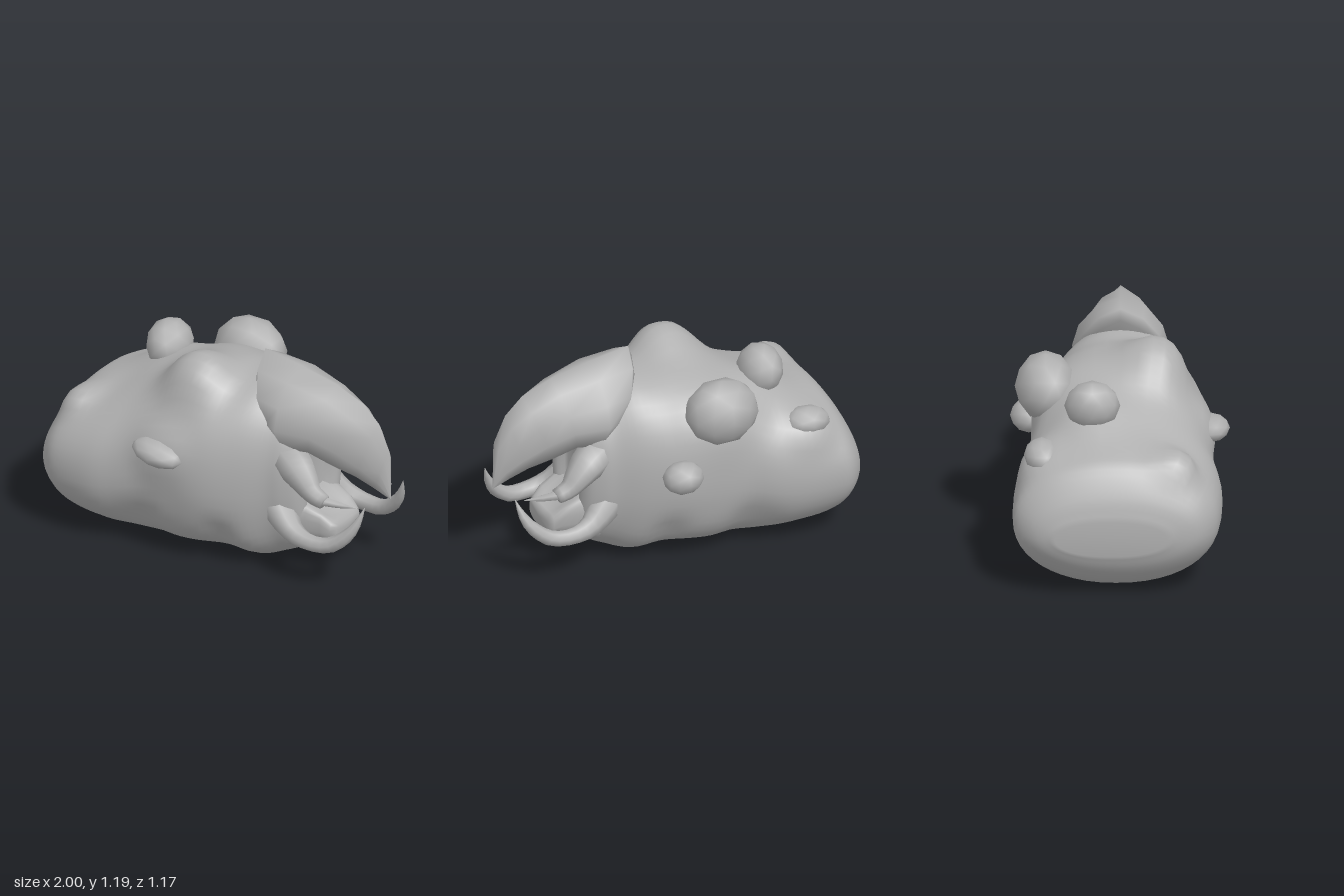
import * as THREE from 'three';

const hide = new THREE.MeshStandardMaterial({ color: 0xb0b0b0 });
hide.name = 'grey hide';

// Skin over rings of points that run top -> +z -> bottom -> -z, closed at both ends
function loft(rings) {
  const n = rings[0].length, pos = [], idx = [];
  rings.forEach(r => r.forEach(p => pos.push(...p)));
  for (let i = 0; i < rings.length - 1; i++) for (let j = 0; j < n; j++) {
    const a = i * n + j, b = i * n + (j + 1) % n, c = a + n, d = b + n;
    idx.push(a, b, c, b, d, c);
  }
  [0, rings.length - 1].forEach((row, end) => {
    const mid = [0, 1, 2].map(k => rings[row].reduce((s, p) => s + p[k], 0) / n);
    const m = pos.push(...mid) / 3 - 1;
    for (let j = 0; j < n; j++) {
      const a = row * n + j, b = row * n + (j + 1) % n;
      if (end) idx.push(m, a, b); else idx.push(m, b, a);
    }
  });
  const g = new THREE.BufferGeometry();
  g.setAttribute('position', new THREE.Float32BufferAttribute(pos, 3));
  g.setIndex(idx);
  g.computeVertexNormals();
  return g;
}

// Rounded ring: position along the body, top, bottom, half width, widest height, z shift
function ring([x, top, bottom, half, mid, dz = 0], { dent = 0, sides = 48, power = 0.92 } = {}) {
  return Array.from({ length: sides }, (_, j) => {
    const t = j / sides * Math.PI * 2, c = Math.cos(t), s = Math.sin(t);
    const cy = Math.sign(c) * Math.abs(c) ** power, sz = Math.sign(s) * Math.abs(s) ** power;
    const hollow = c > 0 ? dent * c ** 3 : 0;
    return [x, mid + cy * (c > 0 ? top - mid : mid - bottom) - hollow, dz + half * sz];
  });
}

// Smoothly adds rows between the given ones
function refine(rows, steps) {
  const spline = k => new THREE.CatmullRomCurve3(
    rows.map(r => new THREE.Vector3(r[k], r[k + 1], r[k + 2])), false, 'catmullrom');
  const first = spline(0), last = spline(3);
  return Array.from({ length: steps + 1 }, (_, i) =>
    [...first.getPoint(i / steps).toArray(), ...last.getPoint(i / steps).toArray()]);
}

// Pushes a point outwards near each soft bump [x, y, z, radius, height]
function swell(point, bumps) {
  const p = new THREE.Vector3(...point), out = p.clone();
  for (const [x, y, z, r, h] of bumps) {
    const d = p.distanceTo(new THREE.Vector3(x, y, z)) / r;
    out.addScaledVector(new THREE.Vector3(0, y - 0.45, z).normalize(), h * Math.exp(-(d ** 3)));
  }
  return out.toArray();
}

// Tapered limb along a path of [x, y, z, radius]
function limb(points, sides = 8, steps = 12) {
  const curve = new THREE.CatmullRomCurve3(points.map(p => new THREE.Vector3(p[0], p[1], p[2])));
  const frames = curve.computeFrenetFrames(steps), rings = [];
  for (let i = 0; i <= steps; i++) {
    const p = curve.getPointAt(i / steps);
    const u = curve.getUtoTmapping(i / steps) * (points.length - 1);
    const k = Math.min(Math.floor(u), points.length - 2);
    const r = THREE.MathUtils.lerp(points[k][3], points[k + 1][3], u - k);
    rings.push(Array.from({ length: sides }, (_, j) => {
      const t = j / sides * Math.PI * 2;
      return p.clone().addScaledVector(frames.normals[i], r * Math.cos(t))
        .addScaledVector(frames.binormals[i], r * Math.sin(t)).toArray();
    }));
  }
  return loft(rings);
}

export function createModel() {
  const model = new THREE.Group();
  model.name = 'beakedCreature';
  const add = (name, geometry) => {
    const mesh = new THREE.Mesh(geometry, hide);
    mesh.name = name;
    model.add(mesh);
    return mesh;
  };

  // Soft bumps that grow out of the hide: hump, rump wart, wart bases, flank lobes
  const bumps = [
    [-0.12, 1.01, 0.19, 0.18, 0.125],
    [-0.81, 0.72, 0.28, 0.11, 0.07],
    [-0.52, 0.87, -0.16, 0.18, 0.05],
    [-0.17, 0.83, -0.36, 0.22, 0.04],
    [-0.18, 0.66, 0.46, 0.16, 0.04],
    [-0.67, 0.7, -0.42, 0.15, 0.05],
  ];
  for (const s of [1, -1]) bumps.push(
    [-0.08, 0.14, s * 0.36, 0.17, 0.02], [-0.36, 0.2, s * 0.45, 0.13, -0.018],
    [0.12, 0.2, s * 0.38, 0.1, -0.018], [0.26, 0.14, s * 0.27, 0.12, 0.01]);

  // Bulky body and head, ending in a hollow throat
  add('body', loft(refine([
    [-1.0, 0.48, 0.28, 0.30, 0.38, -0.05],
    [-0.96, 0.61, 0.19, 0.44, 0.40, -0.03],
    [-0.88, 0.74, 0.09, 0.53, 0.42, -0.03],
    [-0.78, 0.795, 0.03, 0.555, 0.43, -0.02],
    [-0.6, 0.85, 0.005, 0.555, 0.44, -0.01],
    [-0.45, 0.92, 0.0, 0.525, 0.46, -0.01],
    [-0.3, 1.0, 0.0, 0.485, 0.5, 0],
    [-0.15, 1.05, 0.005, 0.475, 0.52, 0],
    [0.0, 1.06, 0.025, 0.47, 0.54, 0],
    [0.12, 1.05, 0.025, 0.44, 0.55, 0],
    [0.26, 1.05, 0.005, 0.375, 0.55, 0],
    [0.38, 1.0, 0.05, 0.305, 0.56, 0],
    [0.46, 0.96, 0.09, 0.275, 0.57, 0],
    [0.53, 0.9, 0.14, 0.225, 0.57, 0],
    [0.55, 0.8, 0.2, 0.15, 0.54, 0],
    [0.5, 0.72, 0.3, 0.09, 0.52, 0],
  ], 60).map(r => ring(r).map(p => swell(p, bumps)))));

  // Hooked beak: half sections from ridge to palate, mirrored
  const half = [
    [[0.17, 1.13, 0], [0.2, 1.07, 0.1], [0.26, 0.97, 0.18], [0.34, 0.88, 0.2], [0.4, 0.75, 0.18], [0.42, 0.75, 0]],
    [[0.19, 1.19, 0], [0.22, 1.12, 0.12], [0.27, 1.0, 0.205], [0.34, 0.88, 0.23], [0.4, 0.75, 0.2], [0.42, 0.75, 0]],
    [[0.42, 1.155, 0], [0.42, 1.1, 0.13], [0.42, 0.99, 0.225], [0.42, 0.87, 0.26], [0.45, 0.76, 0.23], [0.48, 0.75, 0]],
    [[0.65, 1.105, 0], [0.64, 1.05, 0.1], [0.62, 0.95, 0.175], [0.6, 0.85, 0.2], [0.58, 0.755, 0.18], [0.57, 0.78, 0]],
    [[0.82, 1.04, 0], [0.8, 0.97, 0.08], [0.77, 0.88, 0.125], [0.73, 0.78, 0.145], [0.7, 0.69, 0.13], [0.67, 0.75, 0]],
    [[0.92, 0.945, 0], [0.905, 0.88, 0.05], [0.88, 0.79, 0.085], [0.85, 0.7, 0.095], [0.82, 0.635, 0.08], [0.78, 0.7, 0]],
    [[0.985, 0.8, 0], [0.975, 0.75, 0.03], [0.955, 0.68, 0.05], [0.935, 0.62, 0.05], [0.91, 0.575, 0.04], [0.875, 0.63, 0]],
    Array(6).fill([0.995, 0.51, 0]),
  ];
  add('beak', loft(half.map(h => [...h, ...h.slice(1, 5).reverse().map(([x, y, z]) => [x, y, -z])])));

  // Blunt, scooped lower jaw
  const jaw = [
    [0.3, 0.42, 0.05, 0.24, 0.25, 0], [0.46, 0.5, 0.11, 0.21, 0.32, 0.03],
    [0.56, 0.47, 0.16, 0.18, 0.34, 0.08], [0.64, 0.42, 0.172, 0.16, 0.33, 0.08],
    [0.695, 0.36, 0.19, 0.14, 0.29, 0.03], [0.72, 0.33, 0.215, 0.115, 0.28, 0.01],
  ];
  add('lowerJaw', loft(jaw.map(([x, top, bottom, w, mid, dent]) =>
    ring([x, top, bottom, w, mid], { dent, sides: 24, power: 0.78 }))));

  // Paired tusks and spiked feelers at the cheeks
  for (const s of [1, -1]) {
    const side = s > 0 ? 'left' : 'right';
    const path = pts => pts.map(([x, y, z, r]) => [x, y, s * z, r]);
    add(side + 'Tusk', limb(path([
      [0.35, 0.46, 0.17, 0.1], [0.44, 0.37, 0.215, 0.09], [0.54, 0.3, 0.26, 0.06],
      [0.65, 0.275, 0.275, 0.046], [0.77, 0.285, 0.26, 0.044], [0.87, 0.36, 0.235, 0.036],
      [0.92, 0.44, 0.21, 0.022], [0.95, 0.53, 0.185, 0.002],
    ]), 8, 16));
    add(side + 'Feeler', limb(path([
      [0.44, 0.69, 0.17, 0.1], [0.53, 0.66, 0.21, 0.098],
      [0.6, 0.61, 0.235, 0.077], [0.66, 0.56, 0.25, 0.054], [0.735, 0.53, 0.25, 0.042],
    ])));
    add(side + 'FeelerSpike', limb(path([
      [0.7, 0.535, 0.252, 0.032], [0.8, 0.515, 0.21, 0.02], [0.89, 0.5, 0.165, 0.001],
    ]), 6, 4));
  }

  // Irregular warts standing out of the hide: centre, radii, tilt
  [
    [-0.17, 0.905, -0.4, 0.21, 0.185, 0.165, 0],
    [-0.52, 0.95, -0.15, 0.12, 0.14, 0.15, 0.2],
    [-0.18, 0.665, 0.48, 0.155, 0.07, 0.105, -0.15],
    [0.1, 0.61, -0.49, 0.115, 0.09, 0.1, 0],
    [-0.67, 0.73, -0.42, 0.13, 0.08, 0.095, 0.1],
  ].forEach(([x, y, z, rx, ry, rz, tilt], i) => {
    const wart = add('wart' + (i + 1), new THREE.IcosahedronGeometry(1, 1));
    wart.position.set(x, y, z);
    wart.scale.set(rx, ry, rz);
    wart.rotation.z = tilt;
  });
  return model;
}
